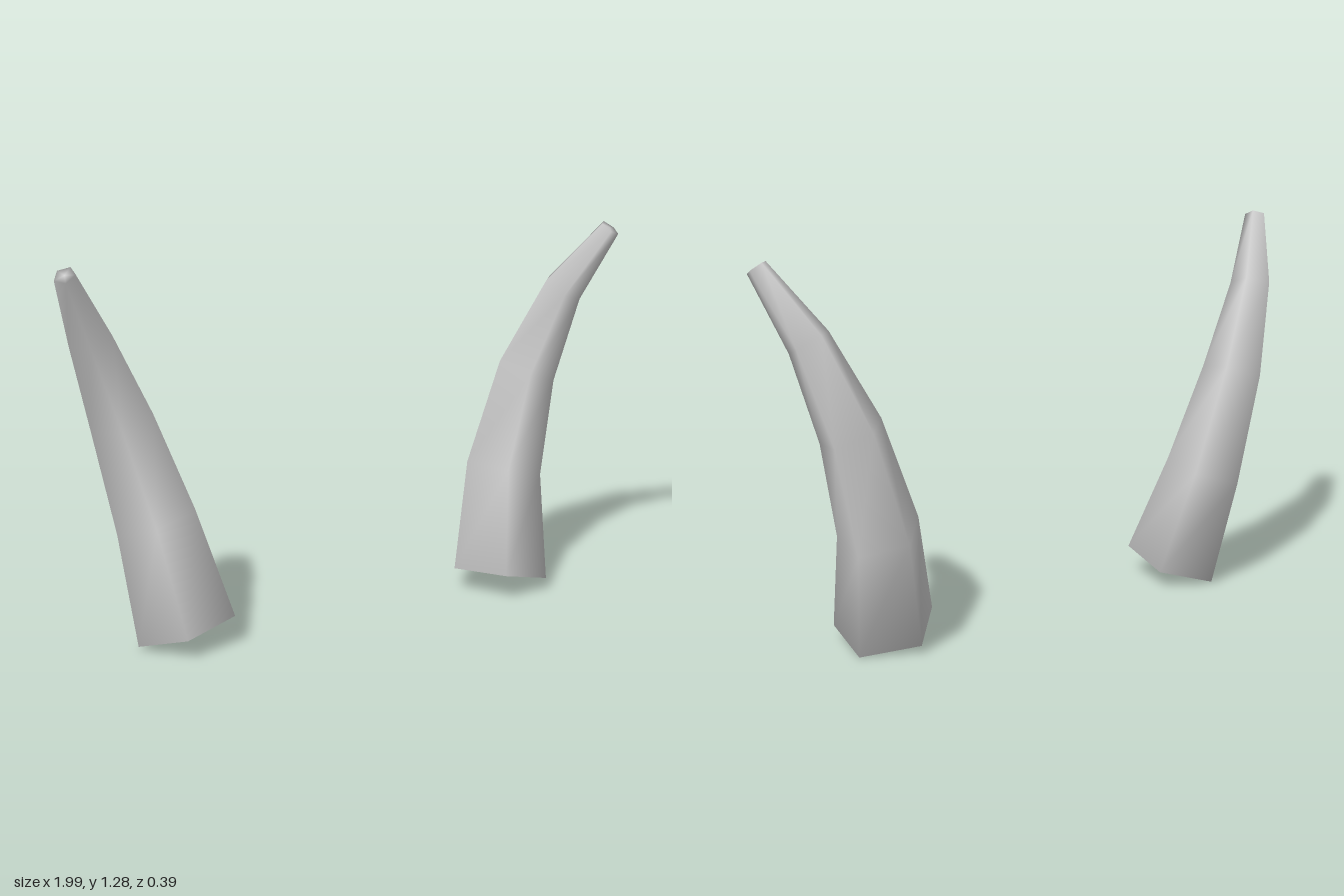
import * as THREE from 'three';

const SIDES = 5;

// Cross-sections of the +x horn: centre, axis direction, radius
const SECTIONS = [
  { at: [0.589, 0.054, 0.034], axis: [0.23, 1, -0.21], r: 0.172 },
  { at: [0.65, 0.41, -0.06], axis: [0.27, 1, -0.13], r: 0.139 },
  { at: [0.748, 0.755, -0.08], axis: [0.36, 1, 0.13], r: 0.108 },
  { at: [0.857, 1.045, -0.03], axis: [0.42, 1, 0.42], r: 0.073 },
  { at: [0.965, 1.267, 0.09], axis: [0.5, 1, 0.5], r: 0.036 },
];

// Lofts five-sided rings along the horn; side mirrors the path, not the facets
function hornGeometry(side, startAngle) {
  const pos = [], index = [];
  const up = new THREE.Vector3(0, 1, 0);
  for (const { at, axis, r } of SECTIONS) {
    const n = new THREE.Vector3(axis[0] * side, axis[1], axis[2]).normalize();
    const q = new THREE.Quaternion().setFromUnitVectors(up, n);
    for (let j = 0; j < SIDES; j++) {
      const a = startAngle + (j / SIDES) * Math.PI * 2;
      const v = new THREE.Vector3(Math.cos(a) * r, 0, Math.sin(a) * r).applyQuaternion(q);
      pos.push(v.x + at[0] * side, v.y + at[1], v.z + at[2]);
    }
  }
  // Centres of the base cap and the tip cap
  const base = pos.length / 3, tip = base + 1;
  const last = (SECTIONS.length - 1) * SIDES;
  for (const s of [SECTIONS[0], SECTIONS[SECTIONS.length - 1]]) {
    pos.push(s.at[0] * side, s.at[1], s.at[2]);
  }
  for (let j = 0; j < SIDES; j++) {
    const k = (j + 1) % SIDES;
    for (let row = 0; row < last; row += SIDES) {
      const a = row + j, b = row + k, c = a + SIDES, d = b + SIDES;
      index.push(a, c, b, b, c, d);
    }
    index.push(base, j, k);
    index.push(tip, last + k, last + j);
  }
  const geo = new THREE.BufferGeometry();
  geo.setAttribute('position', new THREE.Float32BufferAttribute(pos, 3));
  geo.setIndex(index);
  geo.computeVertexNormals();
  return geo;
}

export function createModel() {
  const group = new THREE.Group();
  group.name = 'hornPair';
  const material = new THREE.MeshStandardMaterial({ color: 0xcccccc });
  material.name = 'paleGrey';

  const leftHorn = new THREE.Mesh(hornGeometry(1, THREE.MathUtils.degToRad(40)), material);
  leftHorn.name = 'leftHorn';
  const rightHorn = new THREE.Mesh(hornGeometry(-1, THREE.MathUtils.degToRad(36)), material);
  rightHorn.name = 'rightHorn';
  group.add(leftHorn, rightHorn);
  return group;
}
